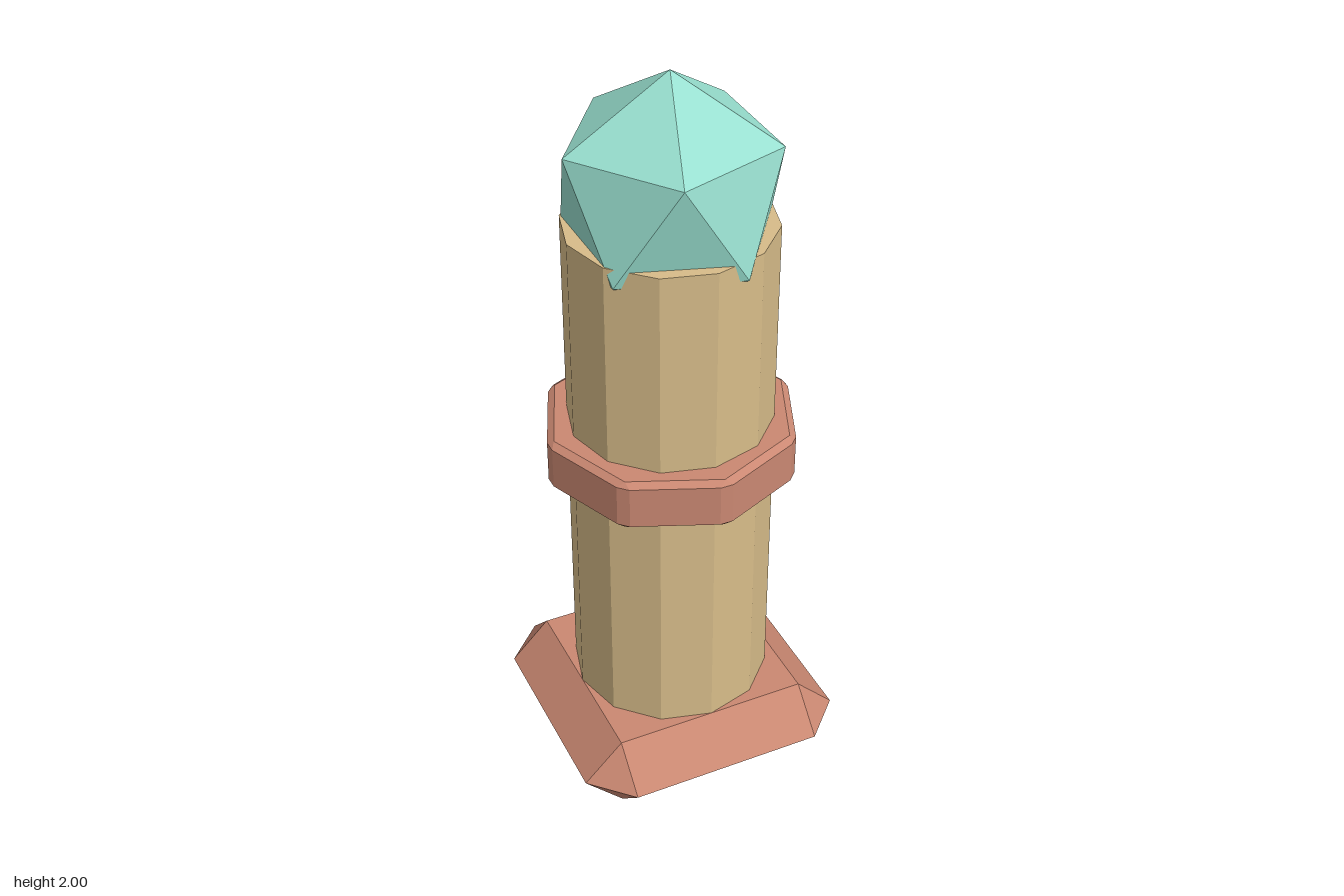
import * as THREE from 'three';
import { ConvexGeometry } from 'three/addons/geometries/ConvexGeometry.js';

function namedMaterial(name, color) {
  const material = new THREE.MeshStandardMaterial({ color });
  material.name = name;
  return material;
}

// Faceted normals for low-poly parts
function faceted(geometry) {
  const flat = geometry.index ? geometry.toNonIndexed() : geometry;
  flat.computeVertexNormals();
  return flat;
}

export function createModel() {
  const model = new THREE.Group();
  model.name = 'crystalPillar';
  const clay = namedMaterial('clay', 0xca8872);
  const sand = namedMaterial('sand', 0xd7bc89);
  const teal = namedMaterial('teal', 0x98dfcf);

  const add = (name, geometry, material, y = 0) => {
    const mesh = new THREE.Mesh(faceted(geometry), material);
    mesh.name = name;
    mesh.position.y = y;
    model.add(mesh);
  };

  // Base: square top and bottom, wider clipped square at mid height
  const inner = 0.267, outer = 0.373;
  const basePoints = [];
  for (const sx of [-1, 1]) for (const sz of [-1, 1]) {
    basePoints.push(
      new THREE.Vector3(sx * inner, 0, sz * inner),
      new THREE.Vector3(sx * inner, 0.215, sz * inner),
      new THREE.Vector3(sx * outer, 0.108, sz * inner),
      new THREE.Vector3(sx * inner, 0.108, sz * outer));
  }
  add('base', new ConvexGeometry(basePoints), clay);

  // Twelve-sided column
  add('column', new THREE.CylinderGeometry(0.267, 0.267, 1.41, 12), sand, 0.905);

  // Collar: octagonal band with bevelled corners and rims
  const collarPoints = [];
  for (let i = 0; i < 8; i++) {
    const angle = i * Math.PI / 4;
    const corner = (r, offset, y) => collarPoints.push(new THREE.Vector3(
      r * Math.cos(angle) - offset * Math.sin(angle), y,
      r * Math.sin(angle) + offset * Math.cos(angle)));
    for (const side of [-1, 1]) {
      corner(0.32, 0, 0.985 + side * 0.07);
      corner(0.332, -0.017, 0.985 + side * 0.057);
      corner(0.332, 0.017, 0.985 + side * 0.057);
    }
  }
  add('collar', new ConvexGeometry(collarPoints), clay);

  // Crystal: icosahedron turned to stand on a point
  const crystal = new THREE.IcosahedronGeometry(0.302, 0);
  crystal.rotateZ(Math.atan(2 / (1 + Math.sqrt(5))));
  add('crystal', crystal, teal, 1.698);

  return model;
}
